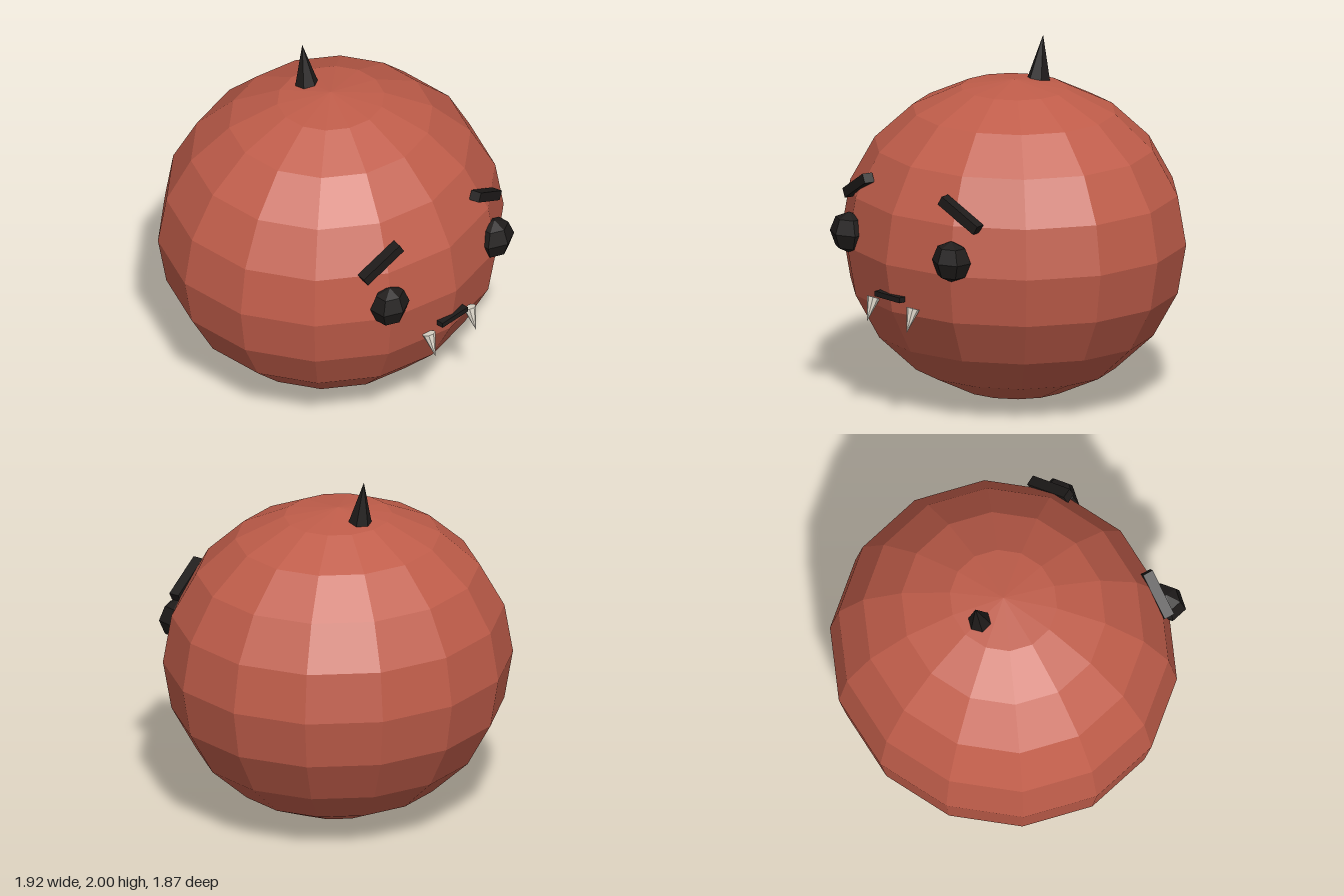
import * as THREE from 'three';

const material = (color) => new THREE.MeshStandardMaterial({ color, flatShading: true });

export function createModel() {
  const model = new THREE.Group();
  const skin = material(0xc05d4a);
  const dark = material(0x1e1b1a);
  const ivory = material(0xe6dfd2);

  const add = (name, geometry, mat, position, rotation = [0, 0, 0]) => {
    const mesh = new THREE.Mesh(geometry, mat);
    mesh.name = name;
    mesh.position.set(...position);
    mesh.rotation.set(...rotation);
    model.add(mesh);
    return mesh;
  };

  // Faceted ellipsoid with a meridian edge facing forward
  const ball = (rx, ry, rz, around, rows) =>
    new THREE.SphereGeometry(1, around, rows).rotateY(Math.PI / 2).scale(rx, ry, rz);

  // Round body
  add('body', ball(0.983, 0.893, 0.937, 14, 10), skin, [0, 0.893, 0]);

  // Single horn, leaning slightly back
  add('horn', new THREE.ConeGeometry(0.07, 0.265, 6), dark, [0, 1.869, -0.196], [-0.13, 0, 0]);

  // Mouth
  add('mouth', new THREE.BoxGeometry(0.205, 0.03, 0.042), dark, [0, 0.708, 0.908]);

  // Mirrored face parts
  for (const [side, s] of [['left', 1], ['right', -1]]) {
    add(side + 'Eye', ball(0.121, 0.116, 0.1, 6, 4), dark, [s * 0.425, 0.977, 0.832]);
    add(side + 'Brow', new THREE.BoxGeometry(0.275, 0.055, 0.06), dark,
      [s * 0.425, 1.232, 0.765], [0, s * 0.24, -s * 0.524]);
    // Fang points down and forward
    add(side + 'Fang', new THREE.ConeGeometry(0.037, 0.14, 8), ivory,
      [s * 0.165, 0.602, 0.908], [Math.PI - 0.35, 0, 0]);
  }
  return model;
}
